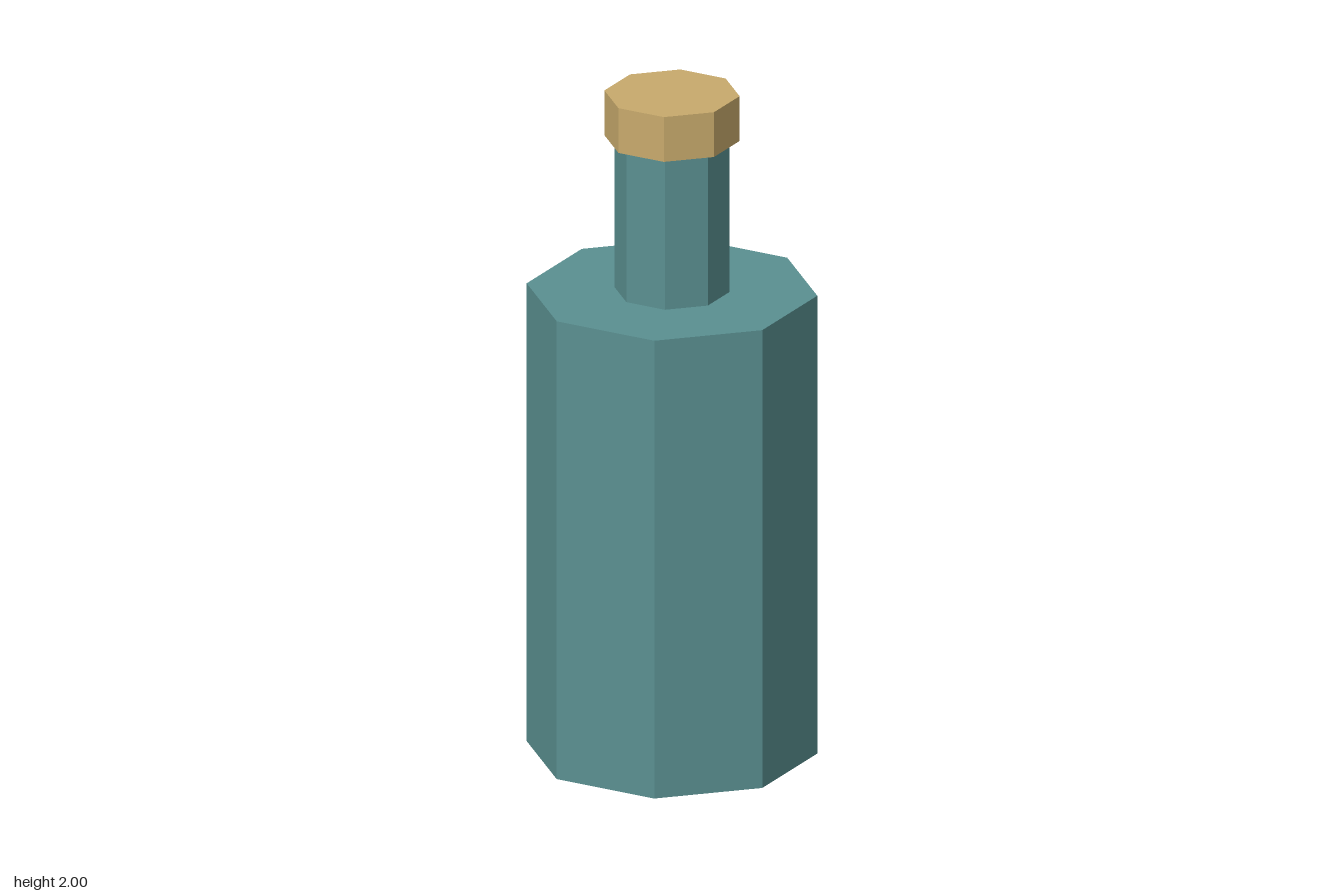
import * as THREE from 'three';

export function createModel() {
  const model = new THREE.Group();
  model.name = 'bottle';

  const glass = new THREE.MeshStandardMaterial({ color: 0x5a9091, flatShading: true });
  glass.name = 'teal glass';
  const cork = new THREE.MeshStandardMaterial({ color: 0xc8aa6c, flatShading: true });
  cork.name = 'tan cork';

  // Upright eight-sided prism with corners on the axes
  function prism(name, radius, bottom, top, material) {
    const geometry = new THREE.CylinderGeometry(radius, radius, top - bottom, 8);
    const mesh = new THREE.Mesh(geometry, material);
    mesh.name = name;
    mesh.position.y = (bottom + top) / 2;
    model.add(mesh);
  }

  prism('body', 0.419, 0, 1.4, glass);
  prism('neck', 0.166, 1.4, 1.863, glass);
  prism('stopper', 0.195, 1.863, 2, cork);

  return model;
}
